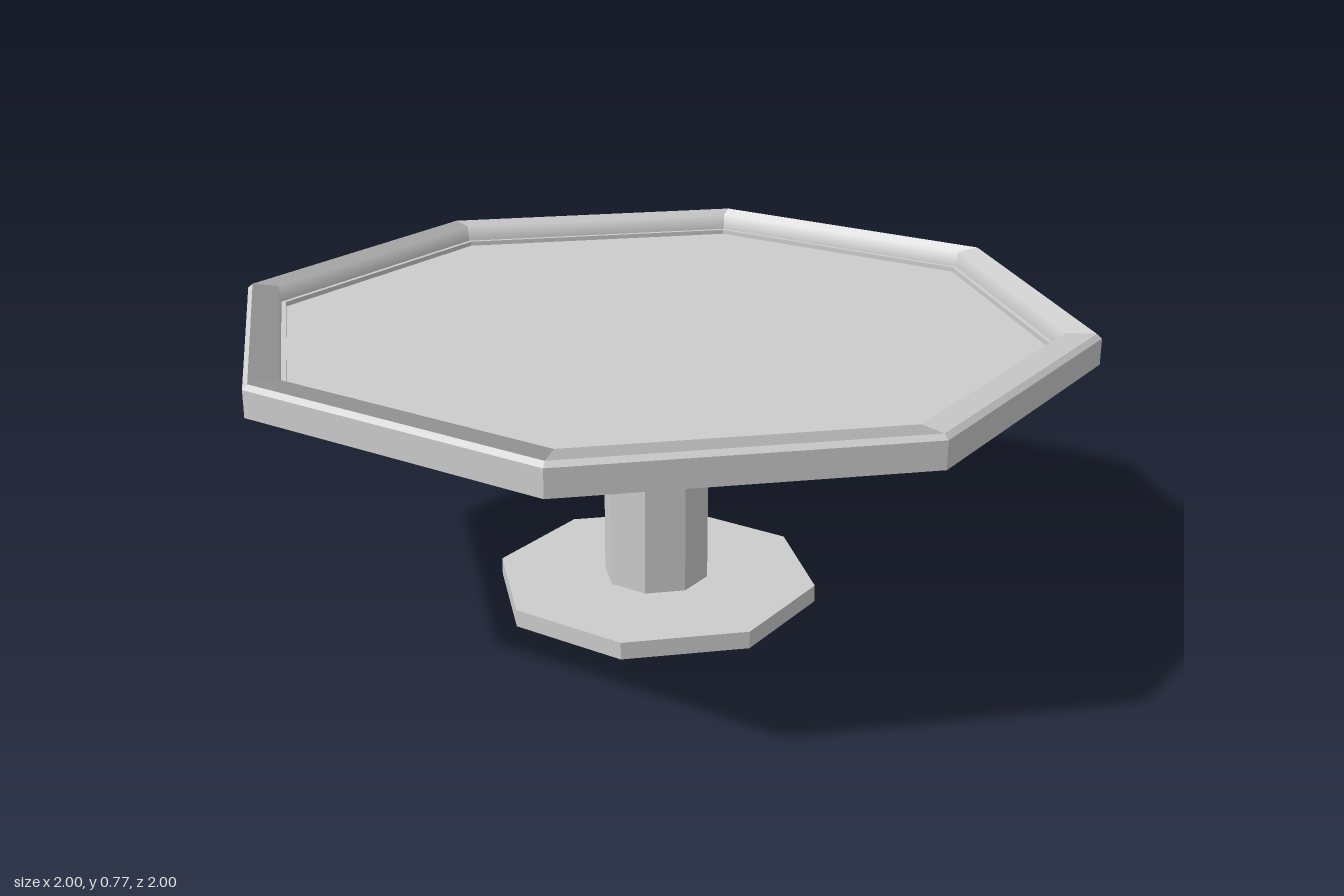
import * as THREE from 'three';

const SIDES = 8;
const TAN = Math.tan(Math.PI / SIDES);

// Sweeps a profile of [apothem, y] points around an octagon, listed from the
// bottom outwards, up and over. Each side is flat across its width; smooth[i],
// when given, holds the [out, up] normals at the two ends of segment i.
function octagonSweep(profile, smooth = {}) {
  const positions = [], normals = [];
  for (let s = 0; s < SIDES; s++) {
    const angle = (s / SIDES) * Math.PI * 2;
    const dx = Math.sin(angle), dz = Math.cos(angle);
    const corner = ([a, y], side) => [a * dx + side * a * TAN * dz, y, a * dz - side * a * TAN * dx];
    for (let i = 0; i < profile.length - 1; i++) {
      const A = profile[i], B = profile[i + 1];
      const flat = [B[1] - A[1], A[0] - B[0]];
      const [nA, nB] = smooth[i] || [flat, flat];
      const quad = [[A, -1, nA], [A, 1, nA], [B, 1, nB], [A, -1, nA], [B, 1, nB], [B, -1, nB]];
      // At the centre a quad shrinks to one triangle
      const tris = A[0] === 0 ? [3, 4, 5] : B[0] === 0 ? [0, 1, 2] : [0, 1, 2, 3, 4, 5];
      for (const k of tris) {
        const [p, side, n] = quad[k];
        const len = Math.hypot(n[0], n[1]);
        positions.push(...corner(p, side));
        normals.push((n[0] * dx) / len, n[1] / len, (n[0] * dz) / len);
      }
    }
  }
  const geometry = new THREE.BufferGeometry();
  geometry.setAttribute('position', new THREE.Float32BufferAttribute(positions, 3));
  geometry.setAttribute('normal', new THREE.Float32BufferAttribute(normals, 3));
  return geometry;
}

export function createModel() {
  const group = new THREE.Group();
  const grey = new THREE.MeshStandardMaterial({ color: 0xcccccc });
  grey.name = 'plain grey';

  const add = (name, geometry) => {
    const mesh = new THREE.Mesh(geometry, grey);
    mesh.name = name;
    group.add(mesh);
  };

  // Foot plate
  add('base', octagonSweep([[0, 0], [0.387, 0], [0.387, 0.045], [0, 0.045]]));

  // Column between the foot plate and the table top
  add('column', octagonSweep([[0.126, 0.045], [0.126, 0.7]]));

  // Raised rim, softly rounded on its inner edge, with a small ledge inside
  const inward = [-1, 0.9];
  add('rim', octagonSweep(
    [[0.98, 0.7], [0.98, 0.69], [1, 0.69], [1, 0.755], [0.988, 0.766], [0.922, 0.764],
      [0.918, 0.722], [0.906, 0.722], [0.906, 0.71]],
    { 4: [inward, inward], 5: [inward, [-1, 0.1]] },
  ));

  // Sunken table top and its underside
  add('tableTop', octagonSweep([[0.906, 0.71], [0, 0.71]]));
  add('underside', octagonSweep([[0, 0.7], [0.98, 0.7]]));

  return group;
}
